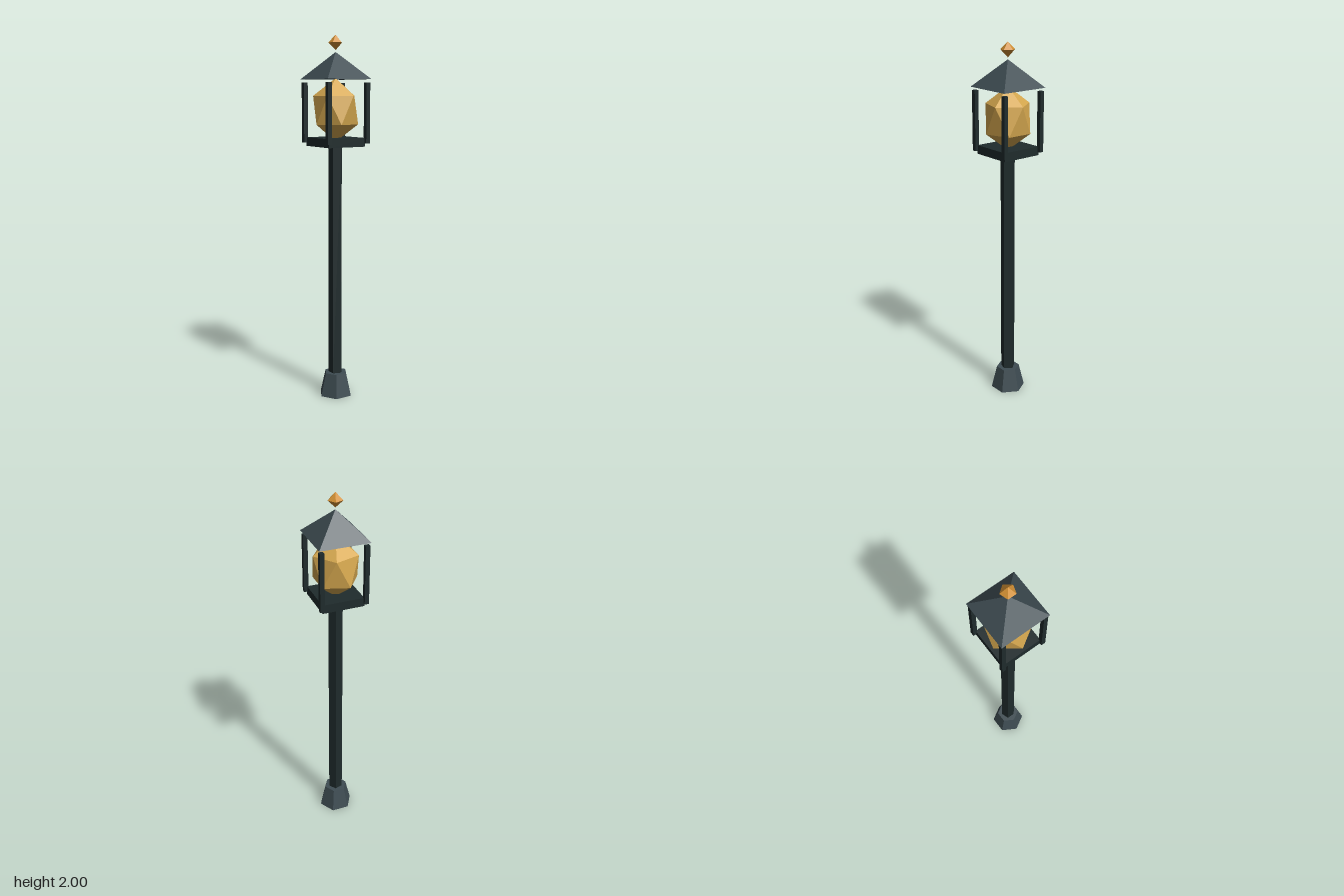
import * as THREE from 'three';

const material = (name, color) => {
  const m = new THREE.MeshStandardMaterial({ color, flatShading: true });
  m.name = name;
  return m;
};

export function createModel() {
  const model = new THREE.Group();
  model.name = 'streetLamp';
  const slate = material('slate', 0x3e4c52);
  const darkIron = material('darkIron', 0x1f2b2c);
  const amber = material('amberGlass', 0xd6a84f);
  const brass = material('brass', 0xd18f33);

  const add = (name, geometry, mat, x, y, z) => {
    const mesh = new THREE.Mesh(geometry, mat);
    mesh.name = name;
    mesh.position.set(x, y, z);
    model.add(mesh);
    return mesh;
  };

  // Six-sided foot and five-sided post, each with a corner towards +x
  add('foot', new THREE.CylinderGeometry(0.065, 0.096, 0.13, 6, 1, false, Math.PI / 2), slate, 0, 0.065, 0);
  add('post', new THREE.CylinderGeometry(0.04, 0.04, 1.3, 5, 1, false, Math.PI / 2), darkIron, 0, 0.77, 0);

  // Lantern tray and corner bars
  add('lanternTray', new THREE.BoxGeometry(0.23, 0.047, 0.23), darkIron, 0, 1.433, 0);
  for (const x of [-0.121, 0.121]) {
    for (const z of [-0.121, 0.121]) {
      add('cornerBar', new THREE.BoxGeometry(0.024, 0.323, 0.024), darkIron, x, 1.589, z);
    }
  }

  // Faceted glowing glass, standing on one point and stretched upwards
  const glass = new THREE.IcosahedronGeometry(0.136, 0);
  glass.rotateZ(Math.atan(2 / (1 + Math.sqrt(5))));
  glass.rotateY(Math.PI);
  glass.scale(1, 1.25, 1);
  add('glowingGlass', glass, amber, 0, 1.604, 0);

  // Pyramid roof with a small floating finial
  const roof = new THREE.ConeGeometry(0.138 * Math.SQRT2, 0.143, 4);
  roof.rotateY(Math.PI / 4);
  add('roof', roof, slate, 0, 1.839, 0);
  add('finial', new THREE.SphereGeometry(0.04, 5, 2, Math.PI), brass, 0, 1.96, 0);

  return model;
}
